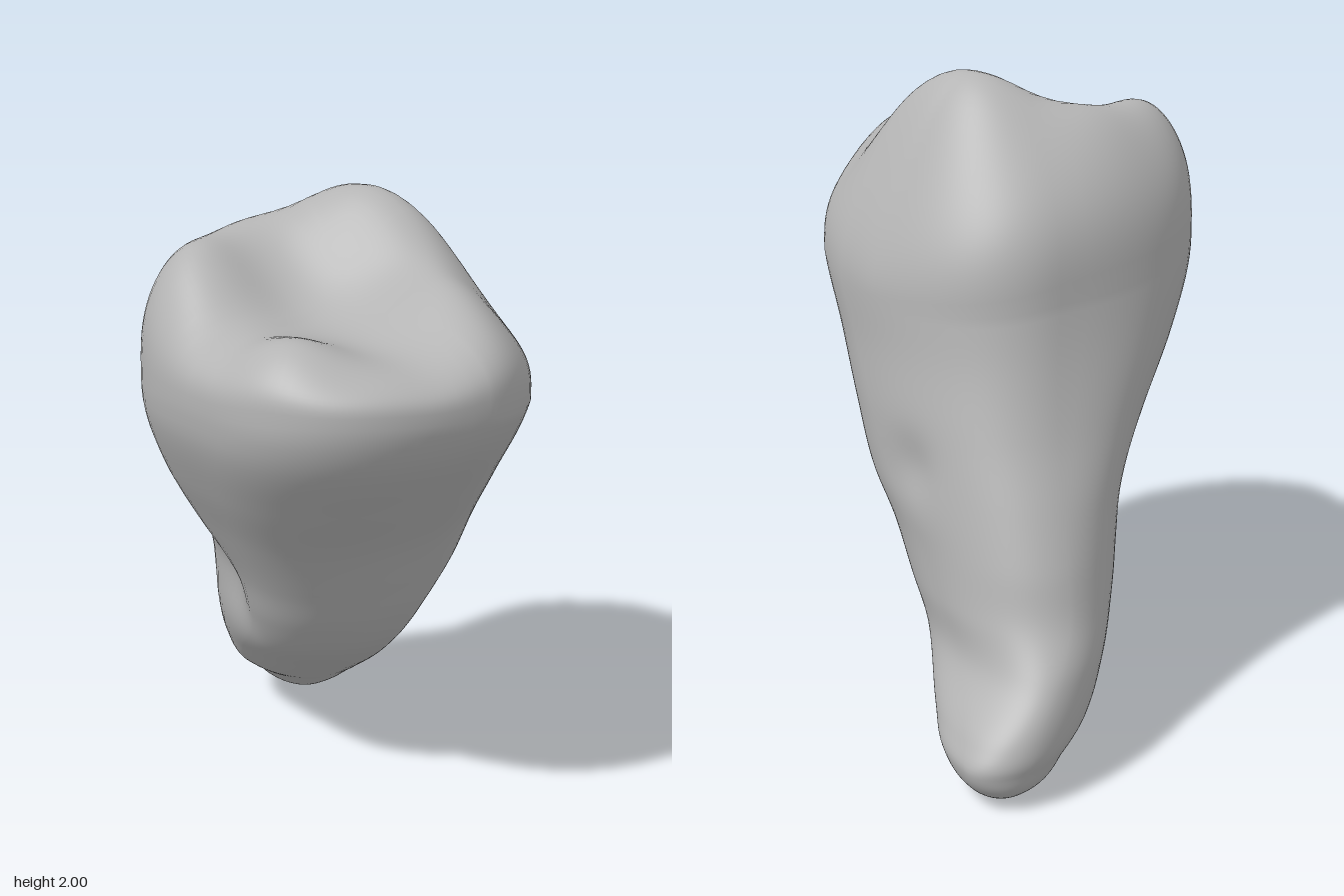
import * as THREE from 'three';

const AROUND = 96, BODY = 76, CAP = 34;

// Heights of the cross-sections, from root tip to widest part of the crown
const HEIGHTS = [0, 0.03, 0.13, 0.2, 0.36, 0.5, 0.65, 0.8, 1.0, 1.2, 1.4, 1.5, 1.55];
// Each section: xMin, xMax, zMin, zMax, x of front point, x of back point, z of -x point, z of +x point
const SECTIONS = [
  0.42, 0.48, -0.64, -0.58, 0.45, 0.45, -0.61, -0.61,
  0.34, 0.54, -0.73, -0.52, 0.44, 0.47, -0.63, -0.64,
  0.22, 0.605, -0.795, -0.38, 0.40, 0.46, -0.60, -0.68,
  0.13, 0.58, -0.80, -0.28, 0.36, 0.43, -0.55, -0.64,
  -0.01, 0.485, -0.76, -0.06, 0.27, 0.33, -0.38, -0.45,
  -0.12, 0.485, -0.69, 0.10, 0.18, 0.25, -0.20, -0.35,
  -0.20, 0.49, -0.645, 0.22, 0.14, 0.23, -0.08, -0.25,
  -0.26, 0.51, -0.59, 0.31, 0.12, 0.21, 0.00, -0.10,
  -0.37, 0.52, -0.51, 0.43, 0.10, 0.18, 0.07, 0.00,
  -0.49, 0.52, -0.455, 0.59, 0.05, 0.15, 0.15, 0.10,
  -0.585, 0.53, -0.425, 0.745, 0.00, 0.12, 0.25, 0.18,
  -0.604, 0.525, -0.42, 0.79, 0.00, 0.10, 0.30, 0.20,
  -0.607, 0.52, -0.415, 0.80, 0.00, 0.10, 0.30, 0.20,
];
const sections = new THREE.CubicInterpolant(HEIGHTS, SECTIONS, 8, new Float32Array(8));

// Cusps and hollows of the chewing surface: x, z, height, radius
const BUMPS = [
  [0.18, -0.02, 0.29, 0.27],
  [-0.43, -0.11, 0.22, 0.23],
  [-0.12, -0.25, 0.13, 0.2],
  [0.3, 0.2, 0.12, 0.2],
  [0.13, 0.48, 0.14, 0.2],
  [-0.46, 0.47, 0.11, 0.18],
  [-0.3, 0.72, 0.06, 0.2],
  [0.08, 0.74, 0.11, 0.2],
  [-0.1, 0.12, -0.04, 0.2],
];

const bump = (dx, dz, r) => Math.exp(-(dx * dx + dz * dz) / (r * r));
const angle = (i) => (i / AROUND) * Math.PI * 2;

// The crown starts rounding over lower at its back right than at its front left
const rimHeight = (i) => 1.55 - 0.1 * (1 + Math.cos(angle(i) + Math.PI / 4));

function chewingHeight(x, z) {
  return BUMPS.reduce((h, [bx, bz, amount, r]) => h + amount * bump(x - bx, z - bz, r), 1.72 - 0.15 * z);
}

// Point on a section: four superellipse quarters joined at the extreme points
function sectionPoint(y, i) {
  const [xMin, xMax, zMin, zMax, xF, xB, zL, zR] = sections.evaluate(y);
  const c = Math.cos(angle(i)), s = Math.sin(angle(i));
  // corner squareness changes from root to crown
  const crown = THREE.MathUtils.smoothstep(y, 0.6, 1.4);
  const frontPower = c >= 0 ? 2.3 - 0.55 * crown : 2.45;
  const backPower = c >= 0 ? 2.2 : 1.75 + 1.05 * crown;
  const power = s >= 0 ? frontPower : backPower;
  const pc = Math.abs(c) ** (2 / power), ps = Math.abs(s) ** (2 / power);
  const xMid = s >= 0 ? xF : xB, zMid = c >= 0 ? zR : zL;
  let x = xMid + pc * ((c >= 0 ? xMax : xMin) - xMid);
  const z = zMid + ps * ((s >= 0 ? zMax : zMin) - zMid);
  // shallow hollows between the fused roots
  if (c < 0) x += 0.07 * pc * bump((y - 0.73) * 0.7, z + 0.24, 0.13);
  else x -= 0.025 * pc * bump(y - 0.88, z + 0.2, 0.1);
  return [x, y, z];
}

function toothGeometry() {
  const positions = [], index = [];

  // root and crown wall
  for (let r = 0; r <= BODY; r++) {
    const t = (r / BODY) ** 1.6;
    for (let i = 0; i < AROUND; i++) positions.push(...sectionPoint(rimHeight(i) * t, i));
  }

  // chewing surface: the rim shrinks inward and rounds over onto the cusps
  const cx = -0.03, cz = 0.17;
  for (let r = 1; r < CAP; r++) {
    const s = Math.cos((r / CAP) * Math.PI / 2);
    for (let i = 0; i < AROUND; i++) {
      const [rx, ry, rz] = sectionPoint(rimHeight(i), i);
      const x = cx + (rx - cx) * s, z = cz + (rz - cz) * s;
      const n = 2.6 + 2 * Math.max(0, z) + Math.max(0, -z) - 1.2 * Math.max(0, x) + 0.6 * Math.max(0, -x);
      const round = (1 - s ** n) ** (1 / n);
      positions.push(x, ry + (chewingHeight(x, z) - ry) * round, z);
    }
  }

  const rings = BODY + CAP;
  const bottom = rings * AROUND, top = bottom + 1;
  positions.push(0.45, 0, -0.61, cx, chewingHeight(cx, cz), cz);

  for (let i = 0; i < AROUND; i++) {
    const j = (i + 1) % AROUND;
    for (let r = 0; r < rings - 1; r++) {
      const a = r * AROUND + i, b = r * AROUND + j;
      index.push(a, a + AROUND, b, b, a + AROUND, b + AROUND);
    }
    const last = (rings - 1) * AROUND;
    index.push(bottom, i, j, top, last + j, last + i);
  }

  const geometry = new THREE.BufferGeometry();
  geometry.setAttribute('position', new THREE.Float32BufferAttribute(positions, 3));
  geometry.setIndex(index);
  geometry.computeVertexNormals();
  return geometry;
}

export function createModel() {
  const group = new THREE.Group();
  group.name = 'molarTooth';
  const grey = new THREE.MeshStandardMaterial({ color: 0xb4b4b4 });
  grey.name = 'grey';
  const tooth = new THREE.Mesh(toothGeometry(), grey);
  tooth.name = 'crownAndRoot';
  group.add(tooth);
  return group;
}
